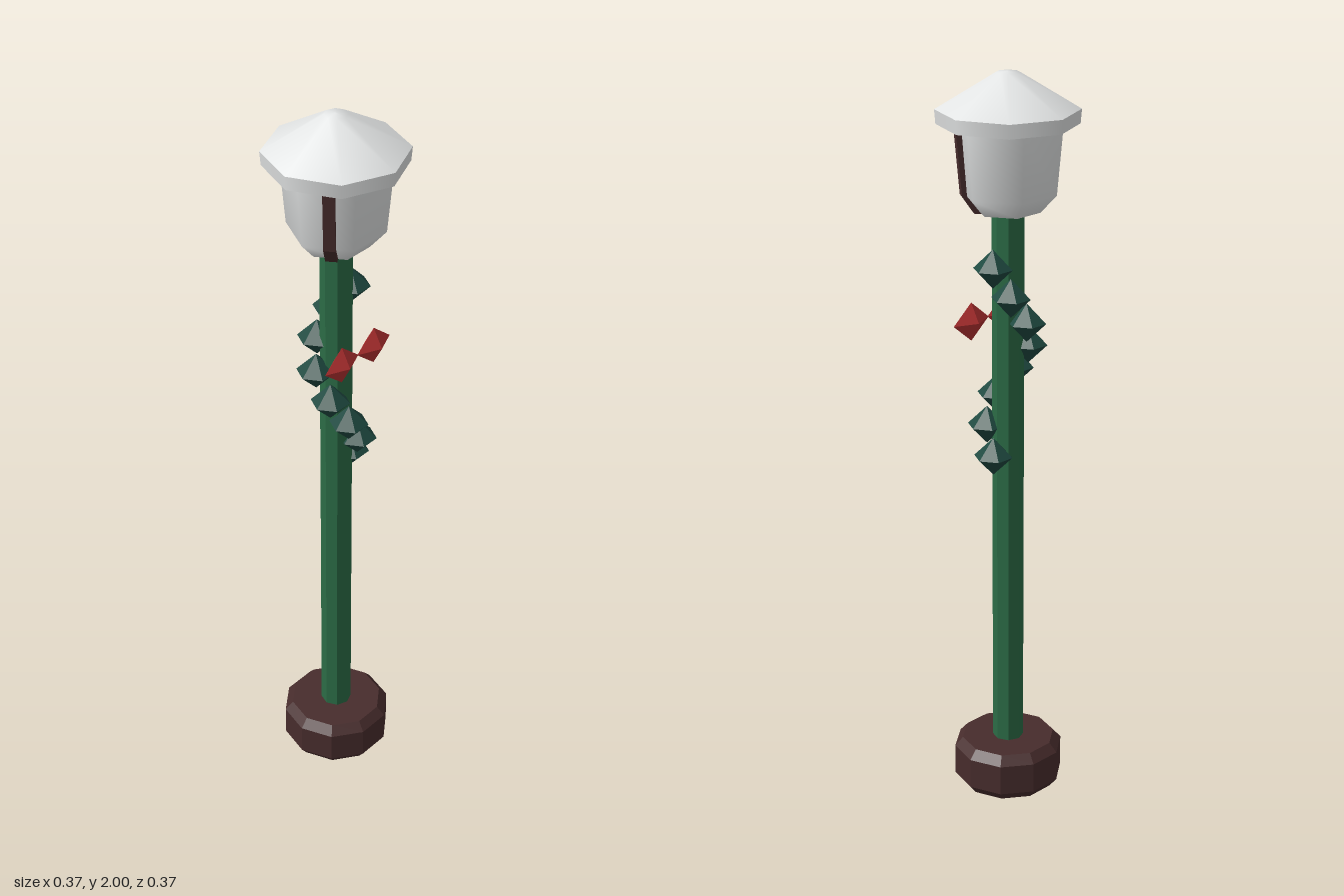
import * as THREE from 'three';

const mat = (name, color) => {
  const m = new THREE.MeshStandardMaterial({ color });
  m.name = name;
  return m;
};

// Split vertices so every facet gets its own normal
function faceted(geometry) {
  const g = geometry.index ? geometry.toNonIndexed() : geometry;
  g.computeVertexNormals();
  return g;
}

// Turned solid with a corner on the x axis; profile runs bottom to top
function turned(profile, sides) {
  const pts = profile.map(([r, y]) => new THREE.Vector2(r, y));
  return new THREE.LatheGeometry(pts, sides, Math.PI / 2);
}

export function createModel() {
  const group = new THREE.Group();
  const snow = mat('snow white', 0xe2e4e4);
  const green = mat('post green', 0x2b6b46);
  const brown = mat('dark brown', 0x472c2c);
  const leaf = mat('leaf green', 0x1f4a41);
  const red = mat('bow red', 0xb83232);

  const add = (name, geometry, material, x = 0, y = 0, z = 0) => {
    const mesh = new THREE.Mesh(geometry, material);
    mesh.name = name;
    mesh.position.set(x, y, z);
    group.add(mesh);
    return mesh;
  };

  // Chamfered ten-sided foot and octagonal post
  add('base', faceted(turned(
    [[0, 0], [0.13, 0], [0.15, 0.025], [0.15, 0.11], [0.128, 0.135], [0, 0.135]], 10)), brown);
  add('post', faceted(turned([[0, 0.1], [0.042, 0.1], [0.042, 1.66], [0, 1.66]], 8)), green);

  // Six-sided tapering lamp; repeated points keep the rims crisp
  add('lamp', turned(
    [[0, 1.643], [0.085, 1.643], [0.085, 1.643], [0.127, 1.69], [0.143, 1.872]], 6), snow);

  // Octagonal cap with a soft peak
  add('roof', turned(
    [[0, 1.867], [0.182, 1.867], [0.182, 1.867], [0.185, 1.904], [0.185, 1.904],
      [0.03, 1.997], [0, 2]], 8), snow);

  // Two lamp bars that follow the taper on the front corners
  const bar = new THREE.Shape([
    [0.06, 1.643], [0.09, 1.643], [0.122, 1.69], [0.138, 1.872], [0.11, 1.872], [0.09, 1.69],
  ].map(([r, y]) => new THREE.Vector2(r, y)));
  const barGeometry = new THREE.ExtrudeGeometry(bar, { depth: 0.03, bevelEnabled: false });
  barGeometry.translate(0, 0, -0.015);
  for (const angle of [0.58, Math.PI - 0.58]) {
    add('lampBar', barGeometry, brown).rotation.y = -angle;
  }

  // Garland: leaves climbing one full turn round the post
  const leafGeometry = faceted(new THREE.SphereGeometry(0.052, 6, 2));
  for (let i = 0; i < 8; i++) {
    const a = (i / 7) * Math.PI * 2;
    add('garlandLeaf', leafGeometry, leaf,
      0.056 * Math.cos(a), 0.987 + i * 0.0733, 0.056 * Math.sin(a));
  }

  // Bow: two flattened diamonds meeting at the middle
  const bowGeometry = faceted(new THREE.OctahedronGeometry(1).scale(0.064, 0.052, 0.028));
  for (const side of [-1, 1]) add('bowHalf', bowGeometry, red, side * 0.062, 1.345, 0.073);

  return group;
}
